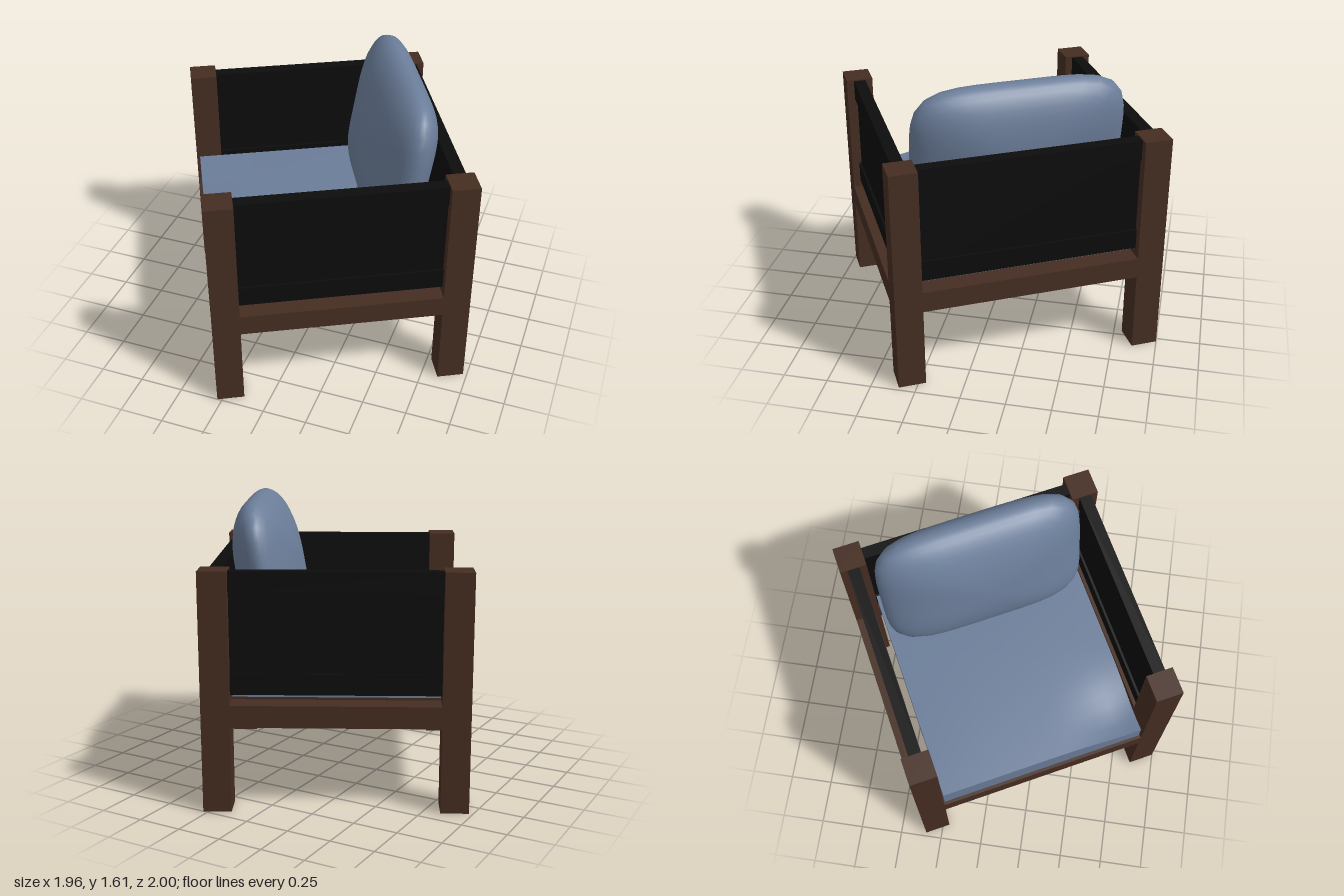
import * as THREE from 'three';
import { mergeVertices } from 'three/addons/utils/BufferGeometryUtils.js';

const PX = 0.683, PZ = 0.632;      // post centres
const POST = 0.152, RAIL = 0.12;   // post and rail sections

export function createModel() {
  const wood = new THREE.MeshStandardMaterial({ color: 0x452d21, side: THREE.DoubleSide });
  wood.name = 'dark wood';
  const leather = new THREE.MeshStandardMaterial({ color: 0x0c0c0c });
  leather.name = 'black leather';
  const fabric = new THREE.MeshStandardMaterial({ color: 0x6b7d99 });
  fabric.name = 'blue fabric';

  const chair = new THREE.Group();
  chair.name = 'armchair';

  function add(parent, name, geometry, material, x, y, z) {
    const mesh = new THREE.Mesh(geometry, material);
    mesh.name = name;
    mesh.position.set(x, y, z);
    parent.add(mesh);
    return mesh;
  }
  const box = (w, h, d) => new THREE.BoxGeometry(w, h, d);

  // Four square posts, open underneath
  const postGeometry = box(POST, 1.3, POST);
  const faces = Array.from(postGeometry.index.array);
  faces.splice(18, 6);
  postGeometry.setIndex(faces);
  postGeometry.clearGroups();
  for (const sx of [-1, 1]) for (const sz of [-1, 1]) {
    add(chair, 'post', postGeometry, wood, sx * PX, 0.65, sz * PZ);
  }

  // Rails between the posts, flush with their outer faces
  const spanX = 2 * PX - POST, spanZ = 2 * PZ - POST;
  const inset = (POST - RAIL) / 2;
  for (const s of [-1, 1]) {
    add(chair, s > 0 ? 'frontRail' : 'backRail', box(spanX, RAIL, RAIL), wood, 0, 0.53, s * (PZ + inset));
    add(chair, 'sideRail', box(RAIL, RAIL, spanZ), wood, s * (PX + inset), 0.53, 0);
  }

  // Slats under the seat, front to back
  const slatLength = 2 * (PZ + inset) - RAIL;
  for (let i = 0; i < 4; i++) {
    add(chair, 'slat', box(0.065, 0.045, slatLength), wood, -0.49 + i * 0.327, 0.562, 0);
  }

  // Leather sling: a panel with a thicker hem at top and bottom
  function sling(name, length, x, z, turn) {
    const group = new THREE.Group();
    group.name = name;
    group.position.set(x, 0, z);
    group.rotation.y = turn;
    add(group, 'panel', box(length, 0.55, 0.04), leather, 0, 0.965, 0);
    for (const y of [0.695, 1.235]) add(group, 'hem', box(length, 0.115, 0.068), leather, 0, y, 0);
    chair.add(group);
  }
  sling('backSling', spanX, 0, -PZ, 0);
  sling('leftSling', spanZ, PX, 0, Math.PI / 2);
  sling('rightSling', spanZ, -PX, 0, Math.PI / 2);

  // Seat cushion: slightly crowned, with a hollow near one front corner
  const seat = new THREE.BoxGeometry(1.2, 0.16, 1.29, 20, 1, 20);
  const p = seat.attributes.position;
  for (let i = 0; i < p.count; i++) {
    if (p.getY(i) < 0) continue;
    const x = p.getX(i), z = p.getZ(i);
    const crown = 0.02 * (1 - (x / 0.6) ** 2) * (1 - (z / 0.645) ** 2);
    const hollow = 0.06 * Math.exp(-((x - 0.5) ** 2 + (z - 0.55) ** 2) / 0.04);
    p.setY(i, p.getY(i) + crown - hollow);
  }
  seat.computeVertexNormals();
  add(chair, 'seatCushion', seat, fabric, 0, 0.672, 0.045);

  // Back cushion: a squarish pillow, thick in the middle, leaning back
  let pillow = new THREE.SphereGeometry(1, 48, 24).rotateX(Math.PI / 2);
  pillow.deleteAttribute('uv');
  pillow.deleteAttribute('normal');
  const q = pillow.attributes.position;
  for (let i = 0; i < q.count; i++) {
    const x = q.getX(i), y = q.getY(i), r = Math.hypot(x, y);
    let k = 1;
    if (r > 1e-6) k = 1 / ((Math.abs(x) / r) ** 5 + (Math.abs(y) / r) ** 5) ** 0.2;
    q.setXYZ(i, x * k * 0.59, y * k * 0.455, q.getZ(i) * 0.19);
  }
  pillow = mergeVertices(pillow, 1e-4);
  pillow.computeVertexNormals();
  const back = add(chair, 'backCushion', pillow, fabric, 0, 1.165, -0.385);
  back.rotation.x = -0.17;

  // The chair stands turned on the floor
  chair.rotation.y = -1.09;
  const model = new THREE.Group();
  model.name = 'model';
  model.add(chair);
  return model;
}
